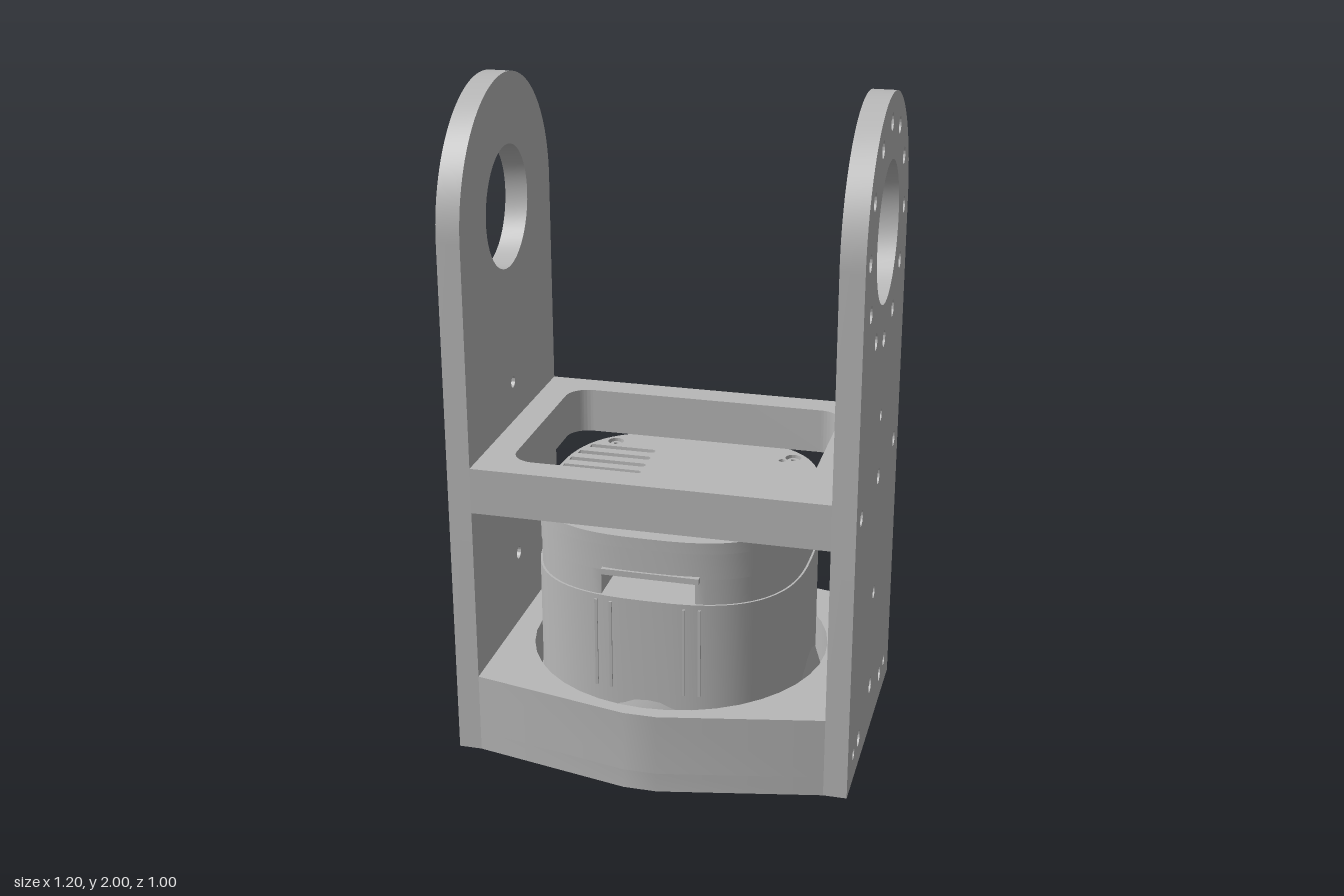
import * as THREE from 'three';
import { toCreasedNormals } from 'three/addons/utils/BufferGeometryUtils.js';

const grey = new THREE.MeshStandardMaterial({ color: 0xb8b8b8 });
grey.name = 'machined grey';

// Rounded-square outline of the motor
const N = 2.8, R = 0.41;
const sp = (v) => R * Math.sign(v) * Math.pow(Math.abs(v), 2 / N);
const edgeX = (z) => R * Math.pow(1 - Math.pow(Math.abs(z) / R, N), 1 / N);

export function createModel() {
  const model = new THREE.Group();

  const add = (parent, name, geo, x = 0, y = 0, z = 0) => {
    const m = new THREE.Mesh(toCreasedNormals(geo, 0.5), grey);
    m.name = name;
    m.position.set(x, y, z);
    parent.add(m);
    return m;
  };
  const group = (name) => {
    const g = new THREE.Group();
    g.name = name;
    model.add(g);
    return g;
  };
  const circle = (x, y, r) => new THREE.Path().absarc(x, y, r, 0, Math.PI * 2, true);
  const disc = (r) => new THREE.Shape().absarc(0, 0, r, 0, Math.PI * 2, false);
  const poly = (pts) => new THREE.Shape(pts.map(([x, y]) => new THREE.Vector2(x, y)));
  const extrude = (shape, holes, depth, segs = 20) => {
    shape.holes.push(...holes);
    return new THREE.ExtrudeGeometry(shape, { depth, bevelEnabled: false, curveSegments: segs });
  };
  // Horizontal slab: shape drawn in x and z, spanning y0 to y1
  const slab = (shape, holes, y0, y1) =>
    extrude(shape, holes, y1 - y0).rotateX(Math.PI / 2).translate(0, y1, 0);
  const ringHoles = (n, radius, r, cx = 0, cy = 0) =>
    Array.from({ length: n }, (_, i) => {
      const a = (i / n) * Math.PI * 2;
      return circle(cx + radius * Math.cos(a), cy + radius * Math.sin(a), r);
    });

  // Arched side plates; the +x one carries the bolt circle
  for (const s of [1, -1]) {
    const shape = new THREE.Shape();
    shape.moveTo(-0.4, 0);
    shape.lineTo(0.4, 0);
    shape.lineTo(0.4, 1.6);
    shape.absarc(0, 1.6, 0.4, 0, Math.PI, false);
    shape.lineTo(-0.4, 0);
    const holes = [
      [0, 1.055, 0.018], [0, 0.86, 0.024], [0.31, 0.86, 0.024], [-0.31, 0.86, 0.024],
      [0, 0.48, 0.02], [0, 0.16, 0.025], [0.205, 0.09, 0.025], [-0.205, 0.09, 0.025],
      [0.298, 0.09, 0.018], [-0.298, 0.09, 0.018],
    ].map((h) => circle(...h));
    holes.push(circle(0, 1.605, s > 0 ? 0.205 : 0.185));
    if (s > 0) holes.push(...ringHoles(12, 0.315, 0.025, 0, 1.605));
    const geo = extrude(shape, holes, 0.07, 24).rotateY(-Math.PI / 2);
    add(model, s > 0 ? 'leftPlate' : 'rightPlate', geo, s > 0 ? 0.6 : -0.53);
  }

  // Cross shelf with a rounded window
  const win = new THREE.Path();
  const wx = 0.44, wz = 0.31, c = 0.07;
  win.absarc(wx - c, wz - c, c, 0, Math.PI / 2, false);
  win.absarc(-wx + c, wz - c, c, Math.PI / 2, Math.PI, false);
  win.absarc(-wx + c, -wz + c, c, Math.PI, Math.PI * 1.5, false);
  win.absarc(wx - c, -wz + c, c, Math.PI * 1.5, Math.PI * 2, false);
  win.closePath();
  add(model, 'shelf', slab(poly([[-0.53, -0.4], [0.53, -0.4], [0.53, 0.4], [-0.53, 0.4]]), [win], 0.79, 0.93));

  // Base with pointed front and back, a round pocket and a drilled floor
  const base = group('base');
  const hex = () => poly([[-0.53, -0.4], [-0.05, -0.5], [0.05, -0.5], [0.53, -0.4],
    [0.53, 0.4], [0.05, 0.5], [-0.05, 0.5], [-0.53, 0.4]]);
  const floorHoles = [circle(0, 0, 0.32)];
  for (let q = 0; q < 4; q++)
    for (const d of [-0.39, 0, 0.39]) {
      const a = (q * Math.PI) / 2 + d;
      floorHoles.push(circle(0.42 * Math.cos(a), 0.42 * Math.sin(a), 0.024));
    }
  add(base, 'baseFloor', slab(hex(), floorHoles, 0, 0.06));
  add(base, 'baseWall', slab(hex(), [circle(0, 0, 0.458)], 0.06, 0.25));

  // Output flange seen from underneath
  add(base, 'outputFlange', slab(disc(0.305), [circle(0, 0, 0.18), ...ringHoles(12, 0.265, 0.013)], 0.008, 0.06));
  add(base, 'flangeInset', slab(disc(0.18), [circle(0, 0, 0.14)], 0.02, 0.06));
  add(base, 'flangeHub', slab(disc(0.14), [circle(0, 0, 0.09)], 0.005, 0.06));
  add(base, 'flangeCore', slab(disc(0.09), [circle(0, 0, 0.05)], 0.03, 0.06));

  // Motor: flared foot, body, slotted waist and vented cap
  const motor = group('motor');
  const outline = (k = 1, from = 0, to = Math.PI * 2) =>
    Array.from({ length: 73 }, (_, i) => {
      const a = from + ((to - from) * i) / 72;
      return [k * sp(Math.cos(a)), k * sp(Math.sin(a))];
    });
  const full = (k) => poly(outline(k).slice(0, -1));
  const foot = [[0.05, 0.06], [0.455, 0.06], [0.455, 0.1], [0.41, 0.25], [0.05, 0.25], [0.05, 0.06]];
  add(motor, 'motorFoot', new THREE.LatheGeometry(foot.map(([x, y]) => new THREE.Vector2(x, y)), 64));
  add(motor, 'motorBody', slab(full(1), [circle(0, 0, 0.05)], 0.2, 0.575));
  for (const s of [1, -1]) {
    const half = outline(0.985, -Math.PI / 2, Math.PI / 2).filter(([x]) => x > 0.14);
    const zEnd = half[half.length - 1][1];
    const pts = [[0.14, -zEnd], ...half, [0.14, zEnd]].map(([x, z]) => [s * x, z]);
    add(motor, 'motorWaist', slab(poly(s > 0 ? pts : pts.reverse()), [], 0.575, 0.655));
  }
  add(motor, 'motorShaft', slab(disc(0.06), [circle(0, 0, 0.05)], 0.575, 0.655));
  add(motor, 'motorCap', slab(full(0.99), [circle(0, 0, 0.05)], 0.655, 0.735));

  // Cap top with cooling slots, screw pockets and a pin hole
  const topHoles = [circle(0, 0, 0.05), circle(0.26, -0.26, 0.011)];
  for (let i = 0; i < 9; i++) {
    const z = (i - 4) * 0.0585, h = 0.0125;
    const xo = -edgeX(Math.abs(z) + h) + 0.014;
    const slot = new THREE.Path();
    slot.moveTo(xo, z - h);
    slot.lineTo(-0.157, z - h);
    slot.absarc(-0.157, z, h, -Math.PI / 2, Math.PI / 2, false);
    slot.lineTo(xo, z + h);
    slot.closePath();
    topHoles.push(slot);
  }
  const corners = [[1, 1], [1, -1], [-1, 1], [-1, -1]];
  for (const [sx, sz] of corners) topHoles.push(circle(sx * 0.29, sz * 0.29, 0.025));
  add(motor, 'motorTop', slab(full(0.99), topHoles, 0.735, 0.77));
  for (const [sx, sz] of corners)
    add(motor, 'capScrew', slab(disc(0.018), [circle(0, 0, 0.008)], 0.73, 0.762), sx * 0.29, 0, sz * 0.29);

  // Ribs and slot lips on the front and back of the motor
  for (const s of [1, -1]) {
    for (const x of [-0.155, -0.11, 0.11, 0.155])
      add(motor, 'bodyRib', new THREE.BoxGeometry(0.008, 0.28, 0.02), x, 0.42, s * (edgeX(x) - 0.004));
    add(motor, 'slotLip', new THREE.BoxGeometry(0.29, 0.018, 0.03), 0.01, 0.655, s * 0.398);
  }
  return model;
}
